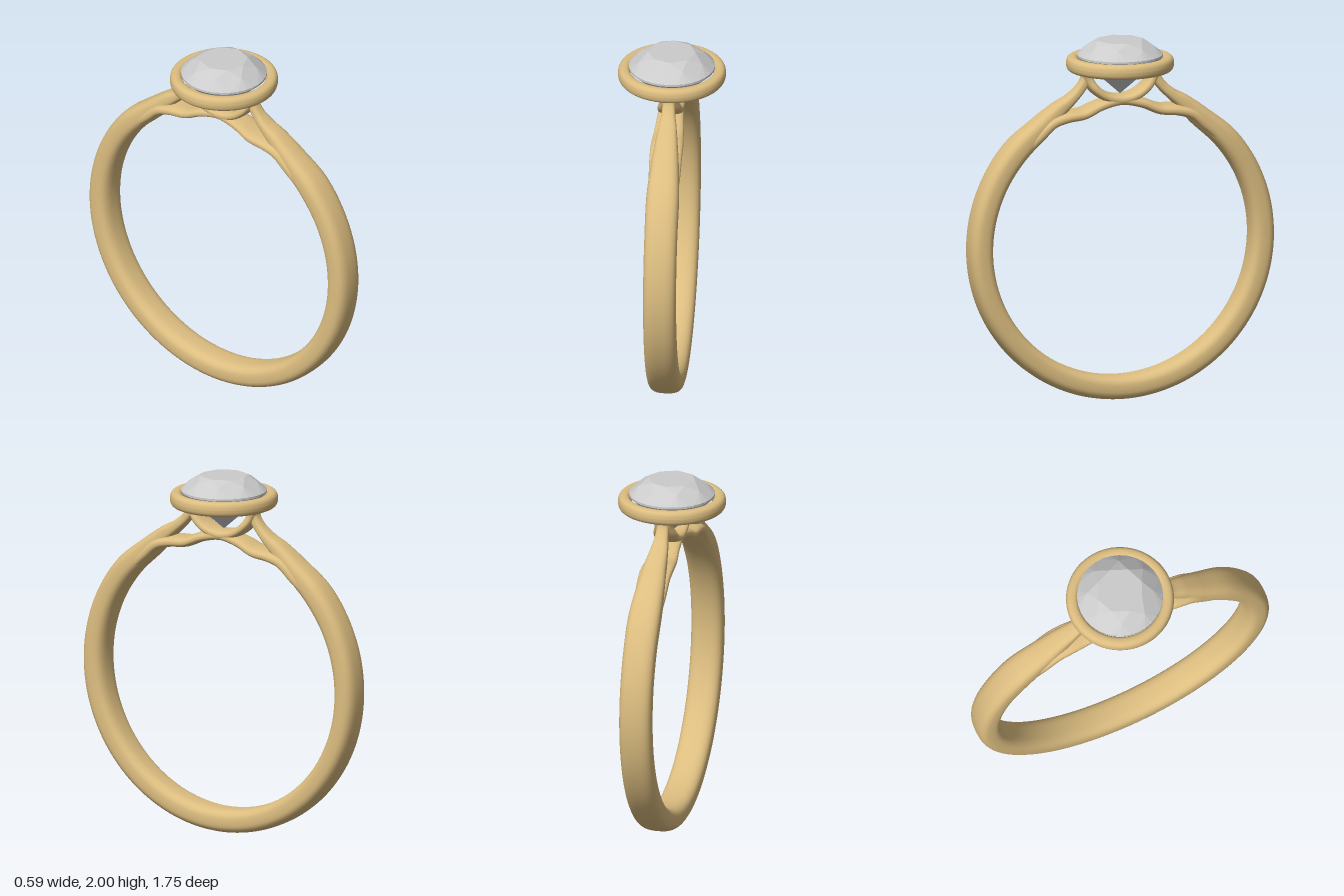
import * as THREE from 'three';

const gold = new THREE.MeshStandardMaterial({ color: 0xdcbd80 });
const grey = new THREE.MeshStandardMaterial({ color: 0xcccccc, flatShading: true });
const CY = 0.877; // height of the band's centre

// Sweeps a rounded section along keys [z, y, half thickness, half width] in the x = 0 plane
function sweep(name, keys, steps, power = 2.6) {
  const path = new THREE.CatmullRomCurve3(keys.map(k => new THREE.Vector3(0, k[1], k[0])));
  const size = new THREE.CatmullRomCurve3(keys.map(k => new THREE.Vector3(k[2], k[3], 0)), false, 'catmullrom', 0.4);
  const sides = 32, pos = [], index = [];
  const round = c => Math.sign(c) * Math.abs(c) ** (2 / power);
  for (let i = 0; i <= steps; i++) {
    const p = path.getPoint(i / steps), t = path.getTangent(i / steps), s = size.getPoint(i / steps);
    for (let j = 0; j < sides; j++) {
      const a = j / sides * Math.PI * 2;
      const w = round(Math.cos(a)) * s.y, h = round(Math.sin(a)) * s.x;
      pos.push(w, p.y + t.z * h, p.z - t.y * h);
      if (i < steps) {
        const A = i * sides + j, B = i * sides + (j + 1) % sides;
        index.push(A, B, A + sides, B, B + sides, A + sides);
      }
    }
  }
  const g = new THREE.BufferGeometry();
  g.setAttribute('position', new THREE.Float32BufferAttribute(pos, 3));
  g.setIndex(index);
  g.computeVertexNormals();
  const mesh = new THREE.Mesh(g, gold);
  mesh.name = name;
  return mesh;
}

// Continues half a set of keys with its mirror image in z
const mirrored = (half, middle) =>
  [...half, ...middle, ...half.map(([z, ...rest]) => [-z, ...rest]).reverse()];

// Round brilliant: table, star, kite and girdle facets above a pointed pavilion
function brilliant() {
  const pos = [], N = 32;
  const at = (r, y, turn) => [r * Math.sin(turn * Math.PI * 2), y, r * Math.cos(turn * Math.PI * 2)];
  const tri = (...corners) => corners.forEach(c => pos.push(...c));
  const table = i => at(0.13, 2, i / 8);
  const mid = i => at(0.185, 1.969, (i + 0.5) / 8);
  const girdle = (k, y = 1.92) => at(0.235, y, k / N);
  for (let i = 0; i < 8; i++) {
    tri([0, 2, 0], table(i), table(i + 1));
    tri(table(i), mid(i), table(i + 1));
    tri(table(i), mid(i - 1), girdle(4 * i));
    tri(table(i), girdle(4 * i), mid(i));
    for (let k = 4 * i; k < 4 * i + 4; k++) {
      tri(mid(i), girdle(k), girdle(k + 1));
      tri(girdle(k), girdle(k, 1.908), girdle(k + 1));
      tri(girdle(k + 1), girdle(k, 1.908), girdle(k + 1, 1.908));
      tri(girdle(k, 1.908), [0, 1.7, 0], girdle(k + 1, 1.908));
    }
  }
  const g = new THREE.BufferGeometry();
  g.setAttribute('position', new THREE.Float32BufferAttribute(pos, 3));
  g.computeVertexNormals();
  const mesh = new THREE.Mesh(g, grey);
  mesh.name = 'gemstone';
  return mesh;
}

export function createModel() {
  const ring = new THREE.Group();
  ring.name = 'ring';

  // Band, tapering into an arm on each side that rises to the bezel
  const arm = [
    [0.2, 1.86, 0.032, 0.058], [0.197, 1.8, 0.028, 0.036], [0.232, 1.74, 0.027, 0.038],
    [0.29, 1.684, 0.031, 0.05], [0.365, 1.628, 0.044, 0.062],
  ];
  const band = [];
  for (let d = 146; d >= -146; d -= 14.6) {
    const a = THREE.MathUtils.degToRad(d), end = Math.abs(d);
    band.push([0.81 * Math.sin(a), CY - 0.81 * Math.cos(a),
      end > 140 ? 0.058 : 0.066, end > 140 ? 0.076 : 0.09]);
  }
  ring.add(sweep('band', mirrored(arm, band), 240, 2.8));

  // Low bridge closing the band under the stone
  ring.add(sweep('bridge', mirrored([
    [0.56, 1.425, 0.03, 0.08], [0.48, 1.5, 0.034, 0.087], [0.4, 1.568, 0.033, 0.089],
    [0.32, 1.592, 0.031, 0.089], [0.22, 1.603, 0.029, 0.083], [0.12, 1.643, 0.027, 0.074],
  ], [[0, 1.667, 0.028, 0.068]]), 100));

  // Curved cradle hanging from the bezel
  ring.add(sweep('cradle', mirrored([
    [0.205, 1.86, 0.03, 0.058], [0.19, 1.8, 0.027, 0.05], [0.152, 1.738, 0.026, 0.066],
    [0.085, 1.69, 0.026, 0.07],
  ], [[0, 1.671, 0.028, 0.07]]), 80));

  // Rounded bezel rim
  const section = [];
  for (let i = 0; i <= 24; i++) {
    const a = i / 24 * Math.PI * 2, c = Math.cos(a), s = Math.sin(a);
    section.push(new THREE.Vector2(0.261 + 0.034 * Math.sign(c) * Math.abs(c) ** 0.8,
      1.87 + 0.041 * Math.sign(s) * Math.abs(s) ** 0.8));
  }
  const bezel = new THREE.Mesh(new THREE.LatheGeometry(section, 72), gold);
  bezel.name = 'bezel';
  ring.add(bezel);

  ring.add(brilliant());
  return ring;
}
